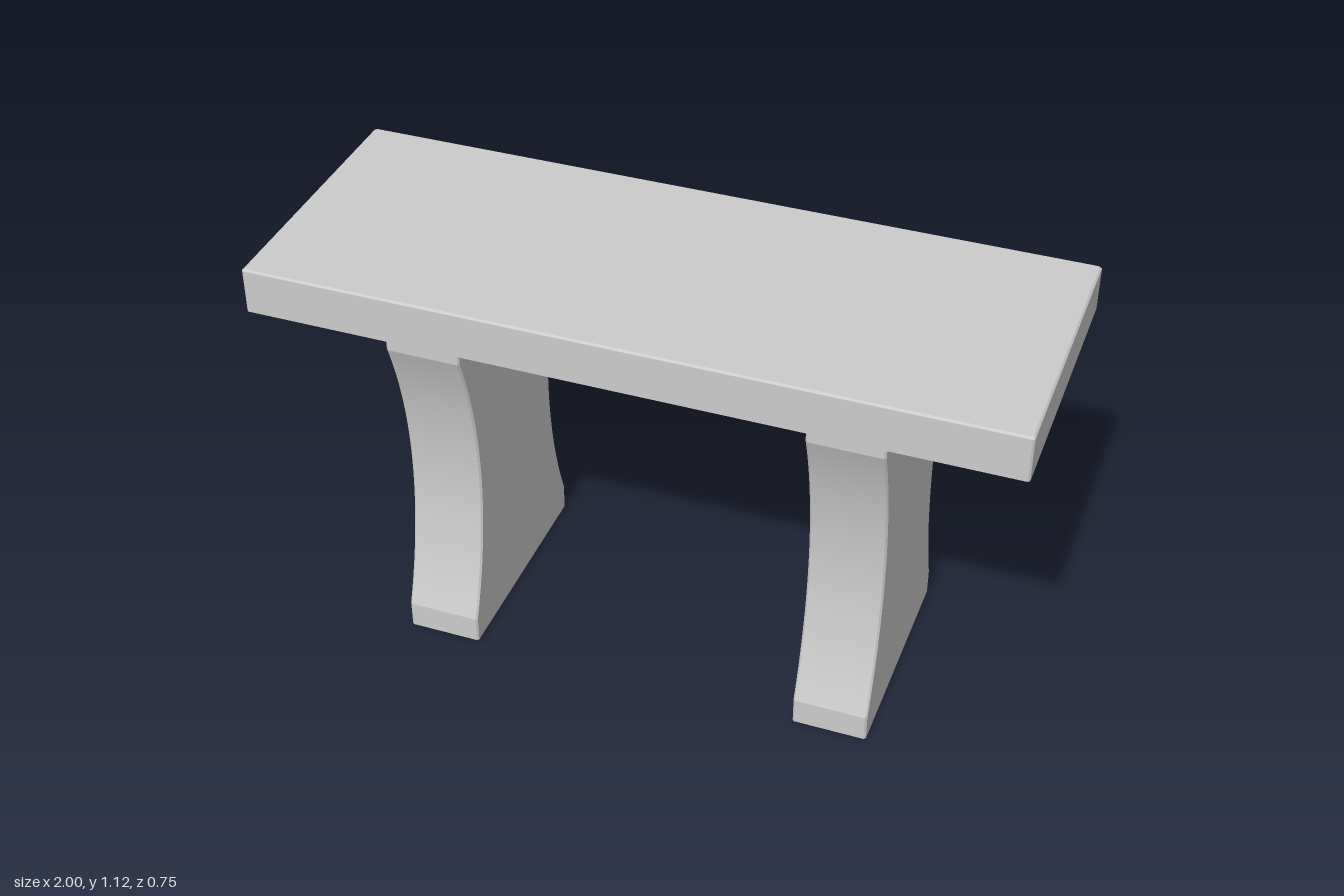
import * as THREE from 'three';
import { toCreasedNormals } from 'three/addons/utils/BufferGeometryUtils.js';

const C = 0.005; // chamfer on the edges

// Rectangle with chamfered corners, counter-clockwise seen from above
function ring({ y, hx, hz }) {
  const ix = hx - C, iz = hz - C;
  return [[hx, iz], [hx, -iz], [ix, -hz], [-ix, -hz], [-hx, -iz], [-hx, iz], [-ix, hz], [ix, hz]]
    .map(([x, z]) => [x, y, z]);
}

// Closed solid lofted upwards through chamfered sections
function loft(sections) {
  const rings = sections.map(ring), n = 8, index = [];
  for (let r = 0; r < rings.length - 1; r++) {
    for (let i = 0; i < n; i++) {
      const a = r * n + i, b = r * n + (i + 1) % n;
      index.push(a, b, b + n, a, b + n, a + n);
    }
  }
  const top = (rings.length - 1) * n;
  for (let i = 1; i < n - 1; i++) {
    index.push(0, i + 1, i, top, top + i, top + i + 1);
  }
  const geometry = new THREE.BufferGeometry();
  geometry.setAttribute('position', new THREE.Float32BufferAttribute(rings.flat(2), 3));
  geometry.setIndex(index);
  return toCreasedNormals(geometry, 0.2);
}

export function createModel() {
  const group = new THREE.Group();
  const material = new THREE.MeshStandardMaterial({ color: 0xcccccc });
  const add = (name, geometry, x = 0) => {
    const mesh = new THREE.Mesh(geometry, material);
    mesh.name = name;
    mesh.position.x = x;
    group.add(mesh);
  };

  // Seat slab, chamfered along its top and upright edges
  add('seat', loft([
    { y: 1, hx: 1, hz: 0.375 },
    { y: 1.125 - C, hx: 1, hz: 0.375 },
    { y: 1.125, hx: 1 - C, hz: 0.375 - C },
  ]));

  // Leg: straight foot and head, with a circular waist between them
  const half = 0.3125, waist = 0.2325, rise = 0.425, steps = 32;
  const sag = half - waist;
  const radius = (rise * rise + sag * sag) / (2 * sag);
  const sweep = Math.asin(rise / radius);
  const leg = [{ y: 0, hx: 0.1, hz: half }];
  for (let i = 0; i <= steps; i++) {
    const a = sweep * (2 * i / steps - 1);
    leg.push({ y: 0.5 + radius * Math.sin(a), hx: 0.1, hz: waist + radius * (1 - Math.cos(a)) });
  }
  leg.push({ y: 1, hx: 0.1, hz: half });
  const legGeometry = loft(leg);
  add('leftLeg', legGeometry, 0.55);
  add('rightLeg', legGeometry, -0.55);

  return group;
}
